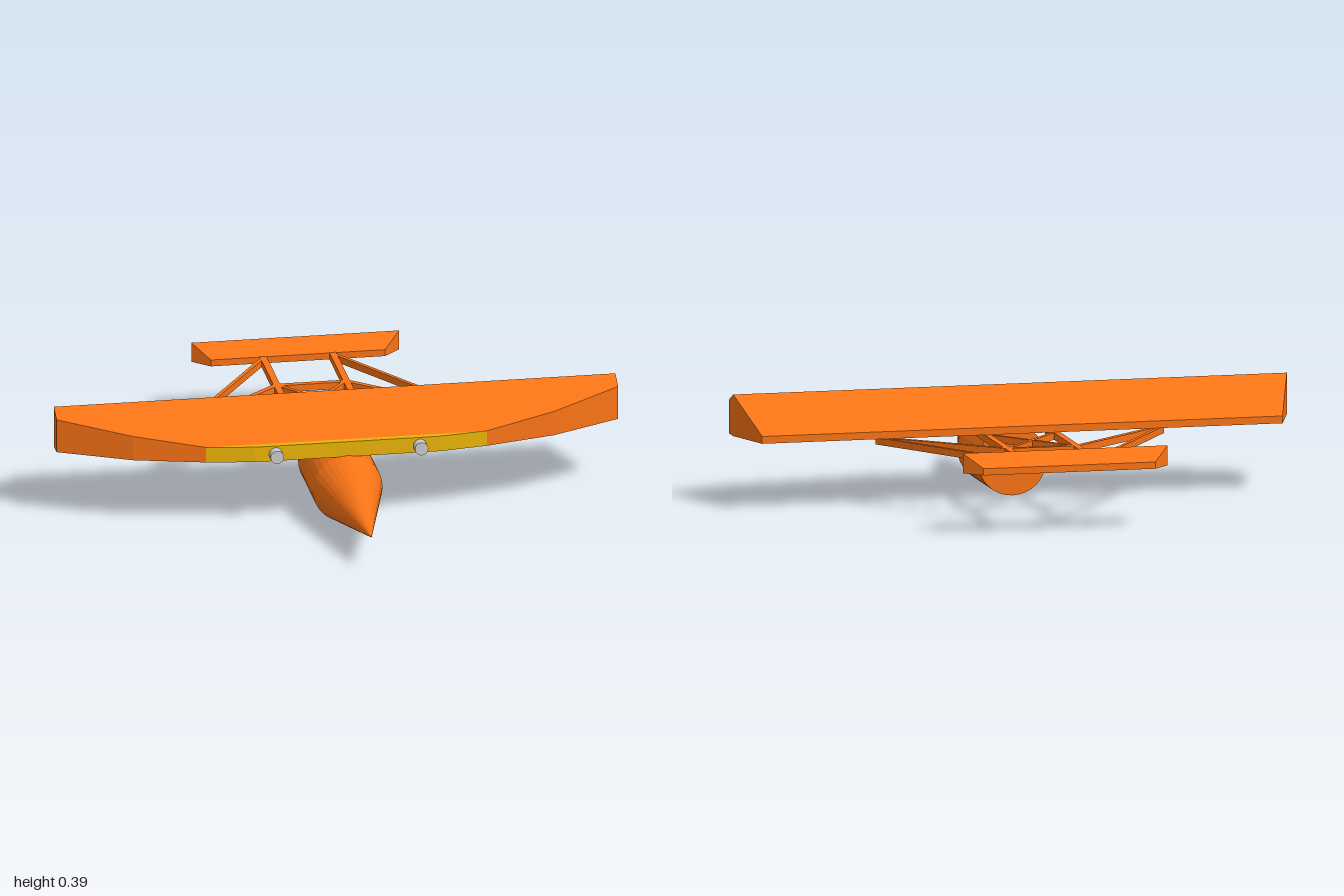
import * as THREE from 'three';

const paint = (color) => new THREE.MeshStandardMaterial({ color, flatShading: true });

// Skin a row of six-point cross-sections running from -x to +x and close both ends.
// Section order: front bottom, ridge bottom, back bottom, back top, ridge, front top.
function loft(sections) {
  const n = 6, pos = [], idx = [];
  sections.forEach((s) => s.forEach((p) => pos.push(...p)));
  for (let s = 0; s < sections.length - 1; s++) {
    for (let i = 0; i < n; i++) {
      const j = (i + 1) % n, a = s * n, b = a + n;
      idx.push(a + i, a + j, b + j, a + i, b + j, b + i);
    }
  }
  const last = (sections.length - 1) * n;
  for (const [u, v] of [[2, 3], [3, 4], [4, 5], [5, 0]]) {
    idx.push(1, v, u, last + 1, last + u, last + v);
  }
  const g = new THREE.BufferGeometry();
  g.setAttribute('position', new THREE.Float32BufferAttribute(pos, 3));
  g.setIndex(idx);
  const flat = g.toNonIndexed();
  flat.computeVertexNormals();
  return flat;
}

export function createModel() {
  const model = new THREE.Group();
  model.name = 'airplane';
  const orange = paint(0xf97316);
  const yellow = paint(0xeab308);
  const grey = paint(0xcccccc);

  const add = (name, geometry, material = orange) => {
    const mesh = new THREE.Mesh(geometry, material);
    mesh.name = name;
    model.add(mesh);
    return mesh;
  };

  // Wing: flat underside, sharp ridge, leading edge swept towards the tips
  const base = 0.244;
  const half = [[1, 0.115, 0.365], [0.75, 0.24, 0.333], [0.5, 0.305, 0.3]];
  const stations = [
    ...half.map(([x, z, y]) => [-x, z, y]),
    ...half.slice().reverse(),
  ];
  add('wing', loft(stations.map(([x, z, y]) => {
    const bx = Math.abs(x) === 1 ? x * 0.94 : x;
    return [
      [x, base, z], [x, base, 0.055], [bx, base, -0.13],
      [bx, 0.27, -0.13], [x, 0.392, 0.055], [x, y, z],
    ];
  })));

  // Yellow strip on the middle of the leading edge
  const strip = new THREE.Shape([[-0.5, 0.305], [-0.33, 0.331], [0.33, 0.331], [0.5, 0.305]]
    .map(([x, z]) => new THREE.Vector2(x, -z)));
  add('leadingEdgeStrip',
    new THREE.ExtrudeGeometry(strip, { depth: 0.3 - base, bevelEnabled: false })
      .rotateX(-Math.PI / 2).translate(0, base, 0), yellow);

  // Engines
  for (const side of [-1, 1]) {
    add(side > 0 ? 'leftEngine' : 'rightEngine',
      new THREE.CylinderGeometry(0.024, 0.024, 0.045, 16).rotateX(Math.PI / 2), grey)
      .position.set(side * 0.257, 0.27, 0.346);
  }

  // Fuselage barrel and pointed nose
  const r = 0.124;
  add('fuselage', new THREE.CylinderGeometry(r, r, 0.31, 32).rotateX(Math.PI / 2))
    .position.set(0, r, 0.175);
  add('noseCone', new THREE.ConeGeometry(r, 0.5, 32, 1, true).rotateX(Math.PI / 2))
    .position.set(0, r, 0.58);

  // Tailplane: ridged like the wing, with pointed ends
  add('tailplane', loft([-1, 1].map((s) => [
    [s * 0.31, 0.219, -0.71], [s * 0.37, 0.219, -0.768], [s * 0.31, 0.219, -0.83],
    [s * 0.31, 0.243, -0.83], [s * 0.37, 0.29, -0.768], [s * 0.31, 0.243, -0.71],
  ])));

  // Flat tail frame: square bars between pairs of [x, z] points
  const bar = (name, [x1, z1], [x2, z2], width) => {
    const mesh = add(name, new THREE.BoxGeometry(width, 0.025, Math.hypot(x2 - x1, z2 - z1)));
    mesh.position.set((x1 + x2) / 2, 0.2315, (z1 + z2) / 2);
    mesh.rotation.y = Math.atan2(x2 - x1, z2 - z1);
  };
  for (const s of [-1, 1]) {
    const side = s > 0 ? 'left' : 'right';
    bar(side + 'Boom', [s * 0.124, -0.005], [s * 0.124, -0.72], 0.024);
    bar(side + 'InnerStrut', [s * 0.124, -0.425], [s * 0.51, -0.08], 0.02);
    bar(side + 'OuterStrut', [s * 0.124, -0.705], [s * 0.515, -0.085], 0.014);
    bar(side + 'CrossBrace', [s * 0.118, -0.42], [-s * 0.118, -0.12], 0.014);
  }
  bar('crossBar', [-0.124, -0.422], [0.124, -0.422], 0.022);

  return model;
}
